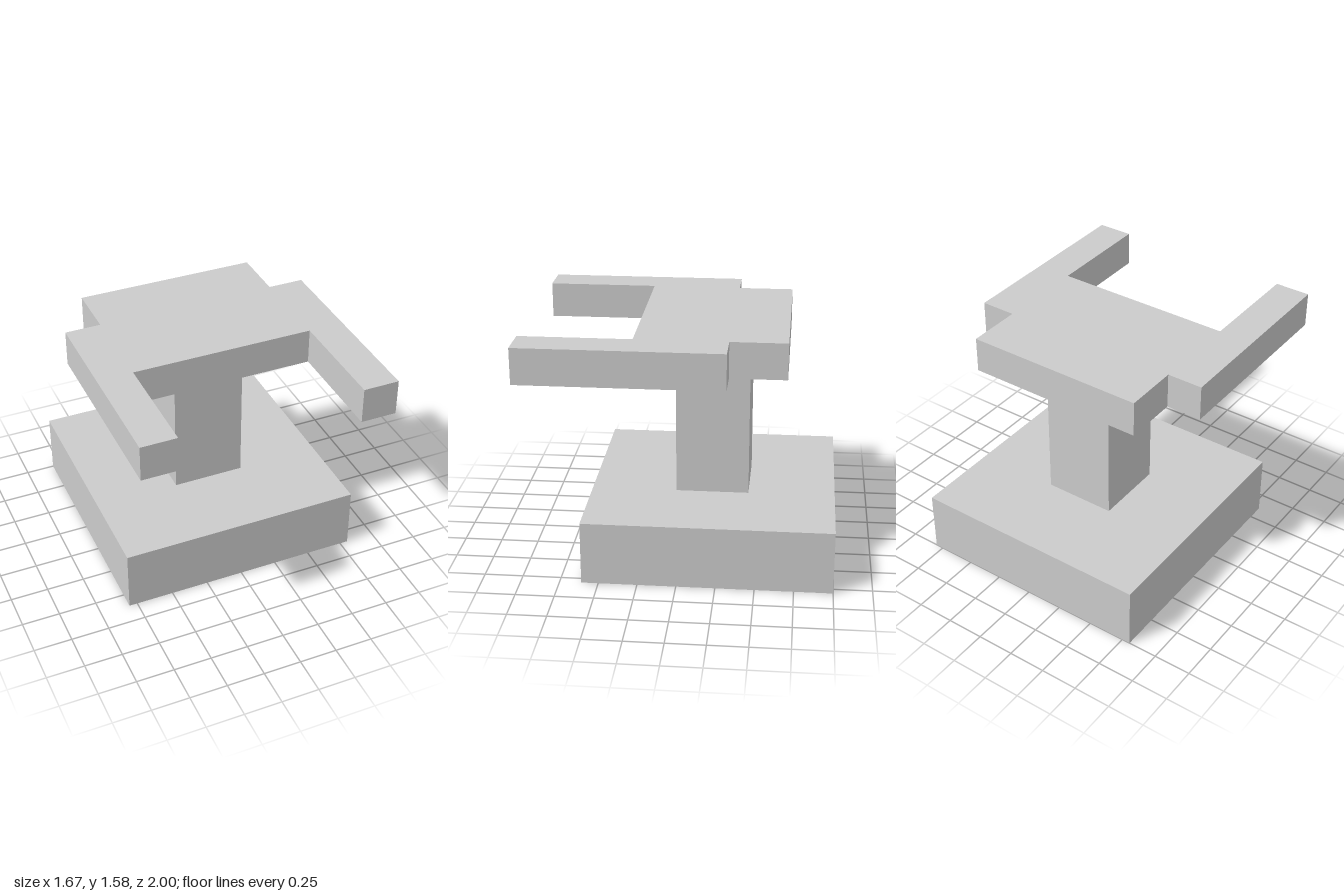
import * as THREE from 'three';

const material = new THREE.MeshStandardMaterial({ color: 0xcccccc, flatShading: true });

// Box given by its minimum and maximum corners
function block(name, [x0, y0, z0], [x1, y1, z1]) {
  const mesh = new THREE.Mesh(new THREE.BoxGeometry(x1 - x0, y1 - y0, z1 - z0), material);
  mesh.position.set((x0 + x1) / 2, (y0 + y1) / 2, (z0 + z1) / 2);
  mesh.name = name;
  return mesh;
}

export function createModel() {
  const model = new THREE.Group();
  model.name = 'pedestal';

  // Heavy base and the column standing on it
  model.add(block('base', [-0.805, 0, -1], [0.805, 0.418, 0.61]));
  model.add(block('column', [-0.24, 0.418, -0.43], [0.24, 1.347, 0.05]));

  // Top plate with two forward arms: half outline as (x, z), mirrored
  const half = [[0.6, -0.675], [0.6, -0.312], [0.835, -0.312], [0.835, 1], [0.6, 1], [0.6, 0.28]];
  const mirrored = half.map(([x, z]) => [-x, z]).reverse();
  const outline = new THREE.Shape([...half, ...mirrored].map(([x, z]) => new THREE.Vector2(x, z)));
  const geometry = new THREE.ExtrudeGeometry(outline, { depth: 0.236, bevelEnabled: false });
  geometry.rotateX(Math.PI / 2); // outline y becomes z, depth runs downward
  const top = new THREE.Mesh(geometry, material);
  top.position.y = 1.583;
  top.name = 'topPlateWithArms';
  model.add(top);

  return model;
}
